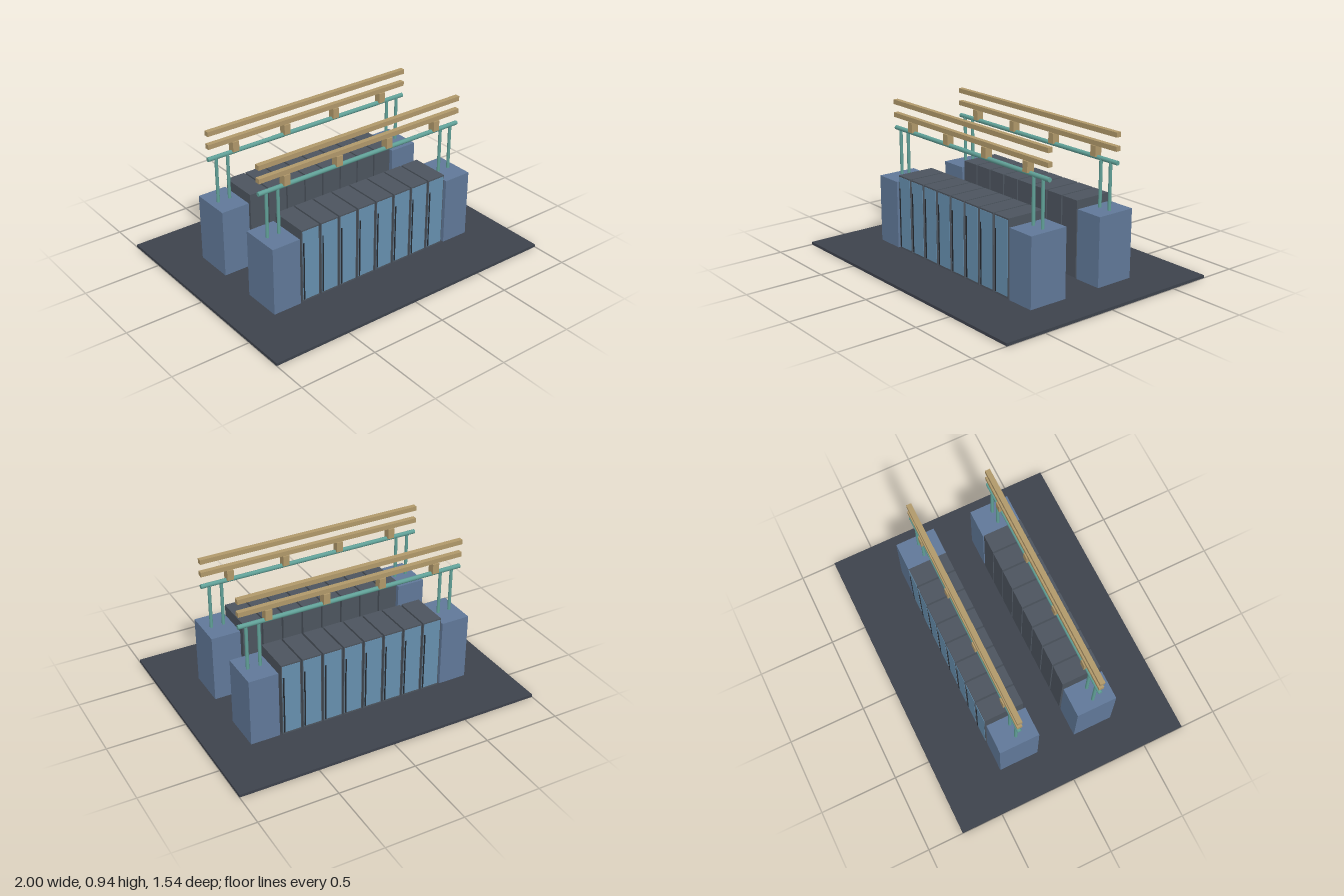
import * as THREE from 'three';

const mat = (color) => new THREE.MeshStandardMaterial({ color });

export function createModel() {
  const model = new THREE.Group();
  const floorMat = mat(0x3d424c), rackMat = mat(0x4c545e), cabinetMat = mat(0x607898);
  const doorMat = mat(0x668fae), handleMat = mat(0x23282e);
  const pipeMat = mat(0x60a097), trayMat = mat(0xb0986a);

  function add(parent, name, geometry, material, x, y, z) {
    const mesh = new THREE.Mesh(geometry, material);
    mesh.name = name;
    mesh.position.set(x, y, z);
    parent.add(mesh);
    return mesh;
  }
  const box = (parent, name, material, w, h, d, x, y, z) =>
    add(parent, name, new THREE.BoxGeometry(w, h, d), material, x, y, z);

  // Floor slab
  box(model, 'floor', floorMat, 2, 0.018, 1.538, 0, 0.009, 0);

  // Two rows, doors facing outwards
  for (const side of [1, -1]) {
    const row = new THREE.Group();
    row.name = side > 0 ? 'frontRow' : 'backRow';
    model.add(row);
    const rackZ = side * 0.26 - 0.004;
    const faceZ = rackZ + side * 0.1275;

    // Server racks with door and long handle
    for (let i = 0; i < 8; i++) {
      const x = (i - 3.5) * 0.1373;
      const rack = new THREE.Group();
      rack.name = 'rack';
      rack.position.x = x;
      row.add(rack);
      box(rack, 'rackBody', rackMat, 0.126, 0.487, 0.255, 0, 0.2615, rackZ);
      box(rack, 'rackDoor', doorMat, 0.115, 0.465, 0.004, 0, 0.263, faceZ);
      box(rack, 'rackHandle', handleMat, 0.009, 0.387, 0.006, -side * 0.05, 0.226, faceZ + side * 0.001);
    }

    // End cabinets, each with two posts
    for (const end of [1, -1]) {
      box(row, 'endCabinet', cabinetMat, 0.188, 0.439, 0.26, end * 0.654, 0.2375, side * 0.259);
      for (const x of [0.612, 0.692]) {
        add(row, 'pipePost', new THREE.CylinderGeometry(0.0105, 0.0105, 0.3, 10), pipeMat,
          end * x, 0.605, side * 0.258);
      }
    }

    // Overhead pipe
    const pipe = add(row, 'overheadPipe', new THREE.CylinderGeometry(0.014, 0.014, 1.492, 12), pipeMat,
      0, 0.755, rackZ);
    pipe.rotation.z = Math.PI / 2;

    // Cable rails and the blocks carrying the lower one
    for (const y of [0.841, 0.925]) {
      box(row, 'cableRail', trayMat, 1.492, 0.03, 0.032, 0, y, rackZ);
    }
    for (let i = 0; i < 4; i++) {
      box(row, 'railBlock', trayMat, 0.043, 0.066, 0.048, (i - 1.5) * 0.373, 0.793, rackZ);
    }
  }
  return model;
}
